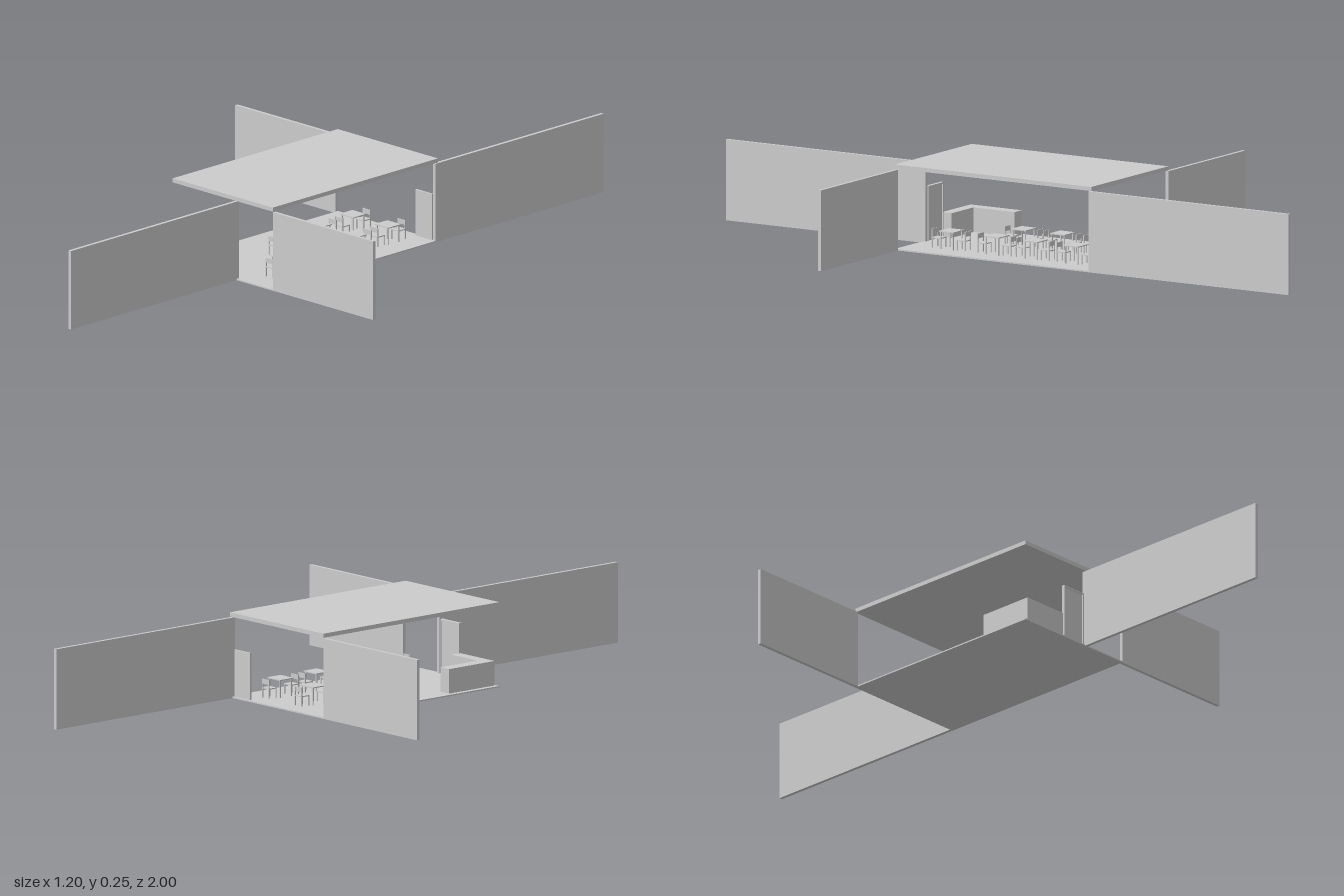
import * as THREE from 'three';

export function createModel() {
  const model = new THREE.Group();
  model.name = 'pavilion';
  const grey = new THREE.MeshStandardMaterial({ color: 0xcccccc });
  grey.name = 'light grey';

  // Box given by its min and max corners
  function block(parent, name, x0, x1, y0, y1, z0, z1) {
    const mesh = new THREE.Mesh(new THREE.BoxGeometry(x1 - x0, y1 - y0, z1 - z0), grey);
    mesh.position.set((x0 + x1) / 2, (y0 + y1) / 2, (z0 + z1) / 2);
    mesh.name = name;
    parent.add(mesh);
  }

  // Four square legs inset to a rectangle
  function legs(parent, name, hx, hz, height, t) {
    for (const sx of [-1, 1]) for (const sz of [-1, 1]) {
      const x = sx * (hx - t / 2), z = sz * (hz - t / 2);
      block(parent, name, x - t / 2, x + t / 2, 0, height, z - t / 2, z + t / 2);
    }
  }

  // Slabs
  block(model, 'floor', -0.2, 0.2, 0, 0.004, -0.333, 0.333);
  block(model, 'roof', -0.2, 0.2, 0.235, 0.247, -0.333, 0.333);

  // Long walls reaching outward in a pinwheel
  block(model, 'frontWall', 0.045, 0.055, 0, 0.233, 0.323, 1);
  block(model, 'backWall', 0.19, 0.2, 0, 0.233, -1, -0.323);
  block(model, 'leftWall', 0.2, 0.6, 0, 0.233, 0.322, 0.332);
  block(model, 'rightWall', -0.6, -0.2, 0, 0.233, -0.333, -0.323);

  // Front door with its frame, and the back door
  block(model, 'frontDoor', -0.035, 0.036, 0.004, 0.157, 0.326, 0.33);
  block(model, 'doorPost', -0.04, -0.035, 0.004, 0.162, 0.323, 0.333);
  block(model, 'doorPost', 0.036, 0.041, 0.004, 0.162, 0.323, 0.333);
  block(model, 'doorHead', -0.035, 0.036, 0.157, 0.162, 0.323, 0.333);
  block(model, 'backDoor', 0.12, 0.186, 0.004, 0.14, -0.328, -0.322);

  // L-shaped counter
  block(model, 'counterFront', -0.186, -0.037, 0.004, 0.075, 0.295, 0.328);
  block(model, 'counterSide', -0.186, -0.15, 0.004, 0.075, 0.155, 0.295);

  // Chair faces +z, with its back at -z
  function chair() {
    const g = new THREE.Group();
    g.name = 'chair';
    legs(g, 'chairLeg', 0.015, 0.015, 0.027, 0.003);
    block(g, 'chairSeat', -0.015, 0.015, 0.027, 0.03, -0.015, 0.015);
    for (const x of [-0.015, 0.012]) block(g, 'backPost', x, x + 0.003, 0.03, 0.055, -0.015, -0.012);
    block(g, 'chairBack', -0.015, 0.015, 0.041, 0.055, -0.0145, -0.0125);
    return g;
  }

  // Table with a chair on either side
  function diningSet(x, z) {
    const g = new THREE.Group();
    g.name = 'diningSet';
    legs(g, 'tableLeg', 0.024, 0.022, 0.05, 0.003);
    block(g, 'tableTop', -0.027, 0.027, 0.05, 0.053, -0.025, 0.025);
    for (const s of [-1, 1]) {
      const c = chair();
      c.position.z = s * 0.042;
      c.rotation.y = s > 0 ? Math.PI : 0;
      g.add(c);
    }
    g.position.set(x, 0.004, z);
    model.add(g);
  }
  for (const z of [-0.222, -0.085, 0.046, 0.2]) diningSet(0.11, z);
  for (const z of [-0.222, -0.085, 0.046]) diningSet(-0.03, z);

  return model;
}
